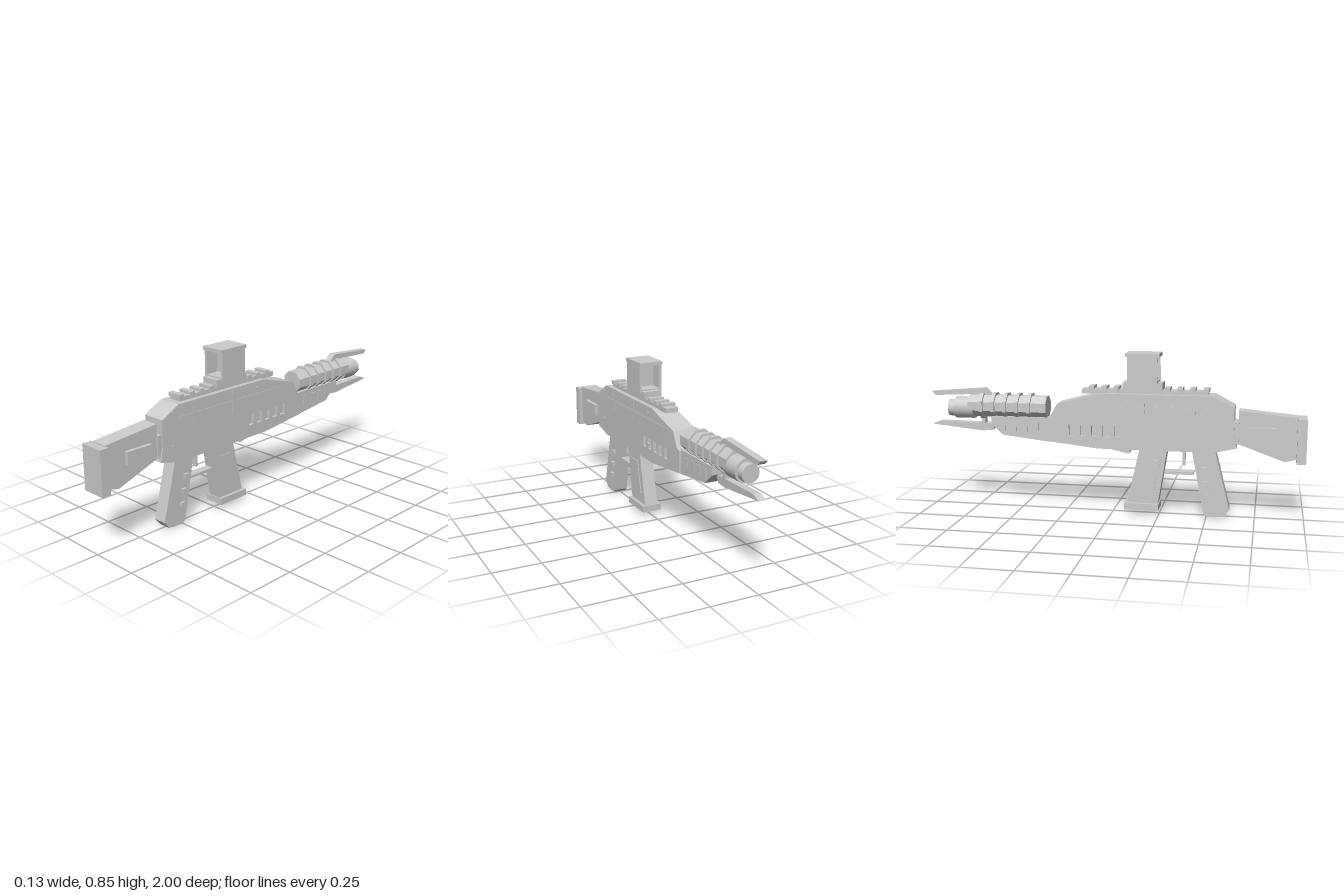
import * as THREE from 'three';

export function createModel() {
  const root = new THREE.Group();
  const grey = new THREE.MeshStandardMaterial({ color: 0xcccccc, flatShading: true });
  const smooth = new THREE.MeshStandardMaterial({ color: 0xcccccc });

  const add = (name, geo, x = 0, y = 0, z = 0, mat = grey) => {
    const m = new THREE.Mesh(geo, mat);
    m.name = name;
    m.position.set(x, y, z);
    root.add(m);
    return m;
  };
  // Box from half width and y / z ranges
  const block = (name, hw, y0, y1, z0, z1) =>
    add(name, new THREE.BoxGeometry(hw * 2, y1 - y0, Math.abs(z1 - z0)), 0, (y0 + y1) / 2, (z0 + z1) / 2);
  // Side profile of [z, y] points, extruded across x
  const slab = (name, hw, pts, holes = []) => {
    const toV = (p) => p.map(([z, y]) => new THREE.Vector2(z, y));
    const shape = new THREE.Shape(toV(pts));
    for (const h of holes) shape.holes.push(new THREE.Path(toV(h)));
    const geo = new THREE.ExtrudeGeometry(shape, { depth: hw * 2, bevelEnabled: false });
    geo.translate(0, 0, -hw);
    geo.rotateY(-Math.PI / 2);
    return add(name, geo);
  };
  // Cylinder lying along z
  const tube = (name, r0, r1, sides, y, z0, z1, mat = grey) => {
    const geo = new THREE.CylinderGeometry(r0, r1, Math.abs(z1 - z0), sides);
    geo.rotateY(Math.PI / sides);
    geo.rotateX(Math.PI / 2);
    return add(name, geo, 0, y, (z0 + z1) / 2, mat);
  };

  // Stock
  block('buttPlate', 0.066, 0.31, 0.54, 0.952, 1);
  slab('stock', 0.045, [[0.957, 0.545], [0.657, 0.573], [0.657, 0.4], [0.893, 0.316], [0.957, 0.332]]);
  block('stockPad', 0.066, 0.425, 0.49, 0.705, 0.848);
  block('stockJoint', 0.054, 0.4, 0.515, 0.62, 0.66);

  // Receiver with a row of recessed side vents
  const vents = [];
  for (let i = 0; i < 5; i++) {
    const z = 0.033 - i * 0.0605;
    vents.push([[z - 0.018, 0.418], [z + 0.018, 0.418], [z + 0.018, 0.476], [z - 0.018, 0.476]]);
  }
  slab('receiver', 0.062, [
    [0.636, 0.59], [0.534, 0.645], [-0.056, 0.645], [-0.29, 0.585], [-0.33, 0.51],
    [-0.356, 0.5], [-0.356, 0.385], [-0.07, 0.353], [0.534, 0.353], [0.65, 0.38], [0.636, 0.45],
  ], vents);
  block('ventBacking', 0.045, 0.405, 0.49, 0.08, -0.25);
  block('sideStrip', 0.0645, 0.563, 0.582, 0.53, -0.245);
  for (const z of [0.43, 0.167]) block('sideRib', 0.0645, 0.515, 0.636, z - 0.007, z + 0.007);
  for (const z of [0.57, -0.01])
    for (const y of [0.61, 0.443]) {
      for (const s of [-1, 1]) {
        const geo = new THREE.CylinderGeometry(0.008, 0.008, 0.008, 8);
        geo.rotateZ(Math.PI / 2);
        add('bolt', geo, s * 0.062, y, z);
      }
    }
  slab('bellyWedge', 0.03, [[0.094, 0.355], [-0.075, 0.36], [0.085, 0.326], [0.094, 0.33]]);

  // Top rail
  block('railBase', 0.035, 0.64, 0.665, 0.5, -0.16);
  for (const z of [0.49, 0.42, 0.355, 0.29, 0.022, -0.043, -0.11])
    block('railTooth', 0.04, 0.66, 0.68, z - 0.014, z + 0.014);

  // Sight: framed housing with a pane inside
  block('sightBase', 0.05, 0.667, 0.705, 0.057, 0.266);
  block('sightFloor', 0.064, 0.7, 0.712, 0.083, 0.24);
  block('sightRoof', 0.066, 0.838, 0.857, 0.074, 0.25);
  for (const s of [-1, 1])
    add('sightWall', new THREE.BoxGeometry(0.014, 0.136, 0.157), s * 0.057, 0.772, 0.1615);
  block('sightPane', 0.051, 0.705, 0.84, 0.155, 0.165);

  // Lower handguard with side windows
  slab('lowerHandguard', 0.05, [
    [-0.34, 0.505], [-0.656, 0.505], [-0.656, 0.465], [-0.592, 0.407], [-0.34, 0.378],
  ]);
  for (let i = 0; i < 4; i++) {
    const z = -0.41 - i * 0.061;
    block('handguardWindow', 0.053, 0.428, 0.48, z - 0.017, z + 0.017);
  }

  // Octagonal barrel shroud, rings and muzzle
  tube('barrelShroud', 0.062, 0.062, 8, 0.557, -0.354, -0.785);
  for (let i = 0; i < 5; i++) {
    const z = -0.447 - i * 0.066;
    tube('shroudRing', 0.073, 0.073, 8, 0.558, z - 0.01, z + 0.01);
  }
  tube('muzzle', 0.058, 0.058, 24, 0.543, -0.76, -0.865, smooth);
  tube('muzzleTip', 0.045, 0.045, 24, 0.54, -0.86, -0.902, smooth);

  // Upper and lower muzzle blades
  slab('upperBlade', 0.019, [[-0.656, 0.61], [-0.70, 0.652], [-1, 0.627], [-0.98, 0.607], [-0.72, 0.62]]);
  slab('lowerBlade', 0.019, [[-0.64, 0.462], [-0.955, 0.467], [-1, 0.448], [-0.715, 0.42], [-0.66, 0.425]]);
  block('bladeMount', 0.02, 0.455, 0.52, -0.7, -0.72);

  // Grip with studs
  slab('grip', 0.037, [[0.54, 0.36], [0.42, 0.36], [0.486, 0.02], [0.505, 0.003], [0.593, 0.01], [0.62, 0.045]]);
  for (const [y, z] of [[0.26, 0.48], [0.185, 0.495], [0.115, 0.507]])
    block('gripStud', 0.053, y - 0.011, y + 0.011, z - 0.011, z + 0.011);

  // Trigger and guard
  block('trigger', 0.012, 0.27, 0.36, 0.371, 0.385);
  block('triggerGuard', 0.022, 0.222, 0.237, 0.28, 0.43);

  // Magazine
  slab('magazine', 0.037, [[0.293, 0.36], [0.148, 0.36], [0.08, 0.06], [0.245, 0.06]]);
  slab('magazinePanel', 0.041, [[0.255, 0.295], [0.17, 0.295], [0.127, 0.118], [0.223, 0.118]]);
  block('magazineBase', 0.055, 0.028, 0.063, 0.068, 0.25);

  return root;
}
